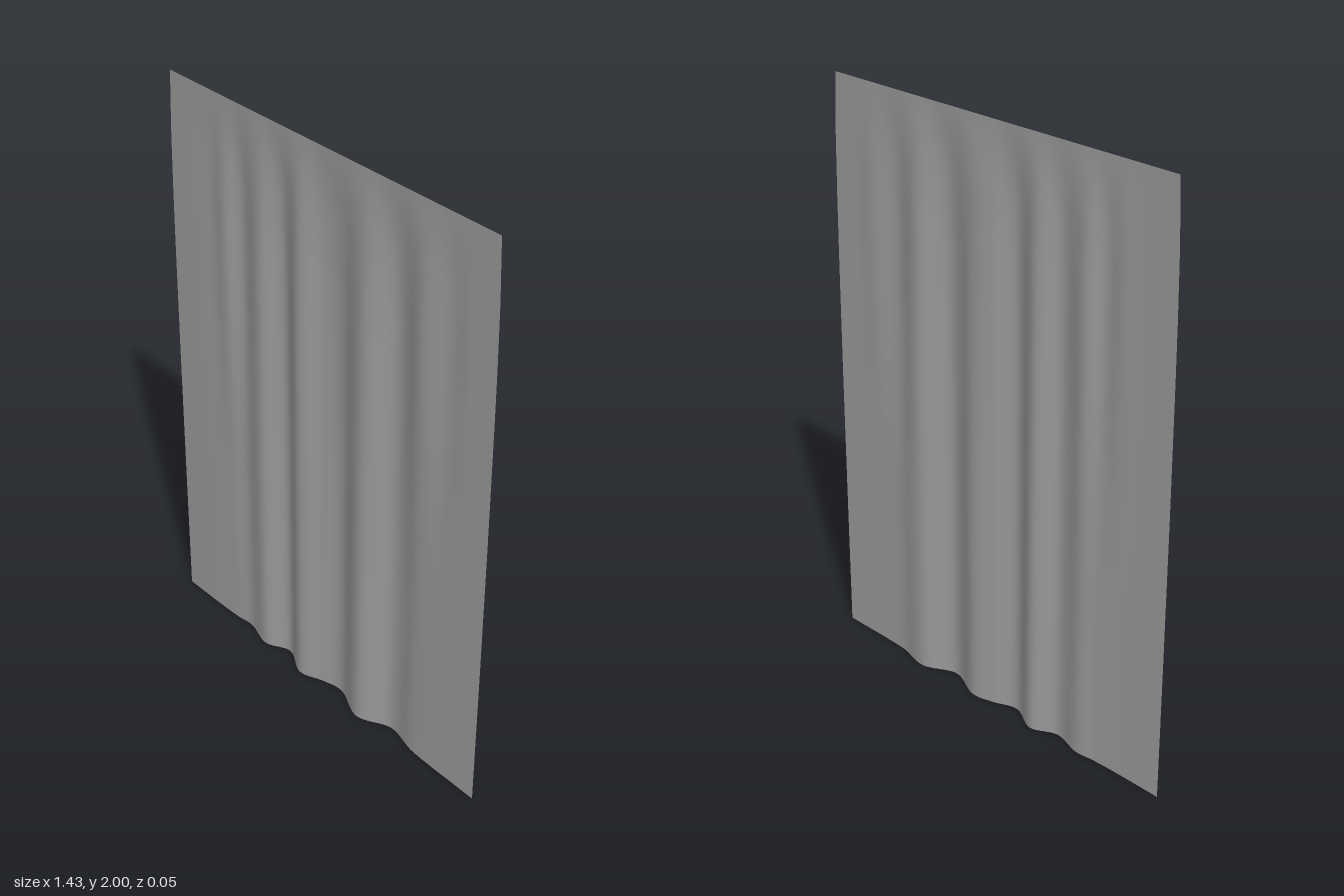
import * as THREE from 'three';

// Each crest and trough: [x, z at the hem, z near the top]; the outer folds soften downwards
const FOLDS = [
  [-0.715, 0, 0], [-0.6, 0, 0], [-0.52, -0.001, -0.004], [-0.45, -0.004, 0.006],
  [-0.38, -0.01, -0.017], [-0.28, 0.014, 0.012], [-0.19, -0.022, -0.021], [-0.09, 0.022, 0.021],
  [0, -0.008, -0.013], [0.08, -0.021, -0.017], [0.2, 0.023, 0.022], [0.315, -0.025, -0.023],
  [0.43, -0.004, 0.012], [0.53, 0, -0.006], [0.61, 0, 0], [0.715, 0, 0],
];
// Down the cloth: [y, half width, fold depth]
const DROP = [
  [0, 0.717, 1], [0.5, 0.715, 1], [1, 0.712, 0.97], [1.4, 0.708, 0.93],
  [1.6, 0.705, 0.86], [1.8, 0.7, 0.6], [1.9, 0.695, 0.28], [1.96, 0.692, 0.06], [2, 0.69, 0],
];

// Straight blend between the rows of DROP
function dropAt(y) {
  let i = 0;
  while (i < DROP.length - 2 && y > DROP[i + 1][0]) i++;
  const [a, b] = [DROP[i], DROP[i + 1]];
  const t = (y - a[0]) / (b[0] - a[0]);
  return [1, 2].map((k) => THREE.MathUtils.lerp(a[k], b[k], t));
}

export function createModel() {
  const group = new THREE.Group();
  group.name = 'curtain';

  // The curve's y holds the hem fold and its z the upper fold
  const folds = new THREE.CatmullRomCurve3(
    FOLDS.map((f) => new THREE.Vector3(...f)), false, 'catmullrom', 0.5);

  // Flat cloth bent into folds that fade out towards the straight top edge
  const geometry = new THREE.PlaneGeometry(1, 2, 150, 60);
  geometry.translate(0, 1, 0);
  const pos = geometry.attributes.position;
  for (let i = 0; i < pos.count; i++) {
    const y = pos.getY(i);
    const [half, depth] = dropAt(y);
    const p = folds.getPoint(pos.getX(i) + 0.5);
    const z = THREE.MathUtils.lerp(p.y, p.z, THREE.MathUtils.smoothstep(y, 0.5, 1.75));
    pos.setXYZ(i, (p.x / 0.715) * half, y, z * depth);
  }
  geometry.computeVertexNormals();

  const cloth = new THREE.Mesh(
    geometry,
    new THREE.MeshStandardMaterial({ color: 0x9b9b9b, side: THREE.DoubleSide }),
  );
  cloth.name = 'cloth';
  group.add(cloth);
  return group;
}
